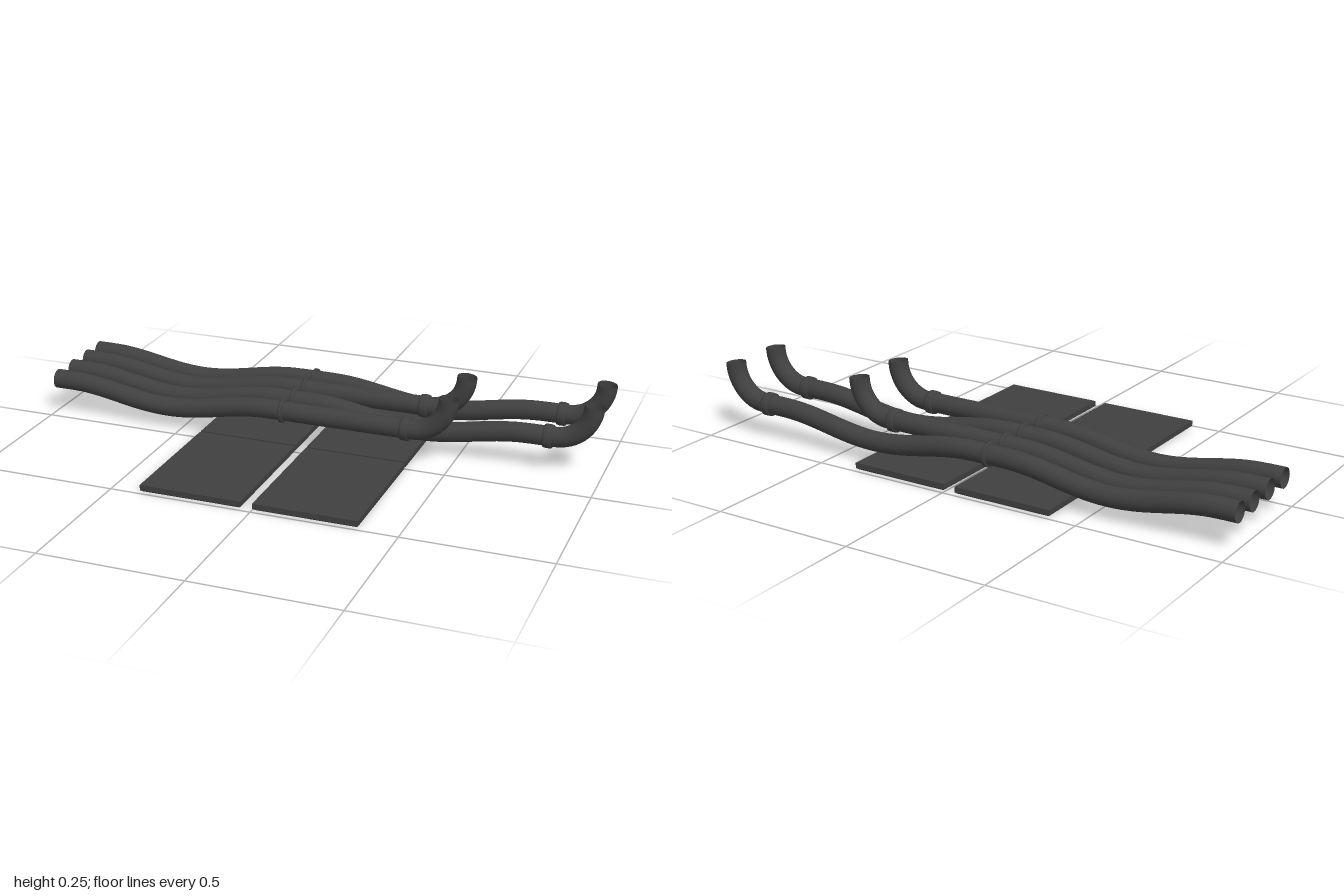
import * as THREE from 'three';

const R = 0.035, Y = 0.12;

export function createModel() {
  const root = new THREE.Group();
  root.name = 'pipesOverSlabs';
  const pipeMat = new THREE.MeshStandardMaterial({ color: 0x404040, side: THREE.DoubleSide });
  const slabMat = new THREE.MeshStandardMaterial({ color: 0x404040, flatShading: true });

  const add = (parent, name, geo, mat) => {
    const mesh = new THREE.Mesh(geo, mat);
    mesh.name = name;
    parent.add(mesh);
    return mesh;
  };

  // Sagging run: level at both ends, cosine dip in between
  const sagPath = (x0, x1, dip) => {
    const pts = [];
    for (let i = 0; i <= 16; i++) {
      const t = i / 16;
      const u = THREE.MathUtils.clamp((t - 0.07) / 0.86, 0, 1);
      pts.push(new THREE.Vector3(THREE.MathUtils.lerp(x0, x1, t), Y - dip * (0.5 - 0.5 * Math.cos(2 * Math.PI * u)), 0));
    }
    return new THREE.CatmullRomCurve3(pts);
  };

  // Quarter-turn elbow bending upwards
  const elbowPath = (x0, x1) => {
    const pts = [new THREE.Vector3(x0, Y, 0)];
    const r = 0.13;
    for (let i = 0; i <= 8; i++) {
      const a = (i / 8) * Math.PI / 2;
      pts.push(new THREE.Vector3(x1 - r + r * Math.sin(a), Y + r - r * Math.cos(a), 0));
    }
    return new THREE.CatmullRomCurve3(pts);
  };

  const tube = (parent, name, path, segments) =>
    add(parent, name, new THREE.TubeGeometry(path, segments, R, 14), pipeMat);

  // Collar: short ring with softened rims, turned onto the x axis
  const collar = (parent, x, width, radius) => {
    const h = width / 2;
    const profile = [[R, -h], [radius - 0.002, -h], [radius, -h * 0.5], [radius, h * 0.5], [radius - 0.002, h], [R, h]];
    const geo = new THREE.LatheGeometry(profile.map(([a, b]) => new THREE.Vector2(a, b)), 14);
    geo.rotateZ(-Math.PI / 2);
    add(parent, 'collar', geo, pipeMat).position.set(x, Y, 0);
  };

  // Four pipes, alternately long (second sag) and short (straight)
  [[-0.39, true], [-0.29, false], [-0.178, true], [-0.067, false]].forEach(([z, long], i) => {
    const pipe = new THREE.Group();
    pipe.name = (long ? 'longPipe' : 'shortPipe') + (i + 1);
    pipe.position.z = z;
    const joint = -0.11, end = long ? 0.81 : 0.34, top = long ? 0.96 : 0.49;
    tube(pipe, 'saggingRun', sagPath(-1, joint, 0.047), 36);
    if (long) tube(pipe, 'secondRun', sagPath(joint, end, 0.047), 36);
    else tube(pipe, 'straightRun', new THREE.LineCurve3(new THREE.Vector3(joint, Y, 0), new THREE.Vector3(end, Y, 0)), 2);
    tube(pipe, 'elbow', elbowPath(end, top), 16);
    collar(pipe, joint, 0.015, 0.043);
    collar(pipe, end, 0.03, 0.042);
    root.add(pipe);
  });

  // Four floor slabs with the bottom edge chamfered
  for (const x of [-0.219, 0.182]) {
    for (const z of [-0.246, 0.246]) {
      const geo = new THREE.BoxGeometry(0.36, 0.025, 0.482, 1, 2, 1);
      const p = geo.attributes.position;
      for (let i = 0; i < p.count; i++) {
        const y = p.getY(i);
        if (y < -0.01) p.setXYZ(i, p.getX(i) - Math.sign(p.getX(i)) * 0.008, y, p.getZ(i) - Math.sign(p.getZ(i)) * 0.008);
        else if (y < 0.01) p.setY(i, -0.0065);
      }
      geo.computeVertexNormals();
      add(root, 'slab', geo, slabMat).position.set(x, 0.0125, z);
    }
  }
  return root;
}
